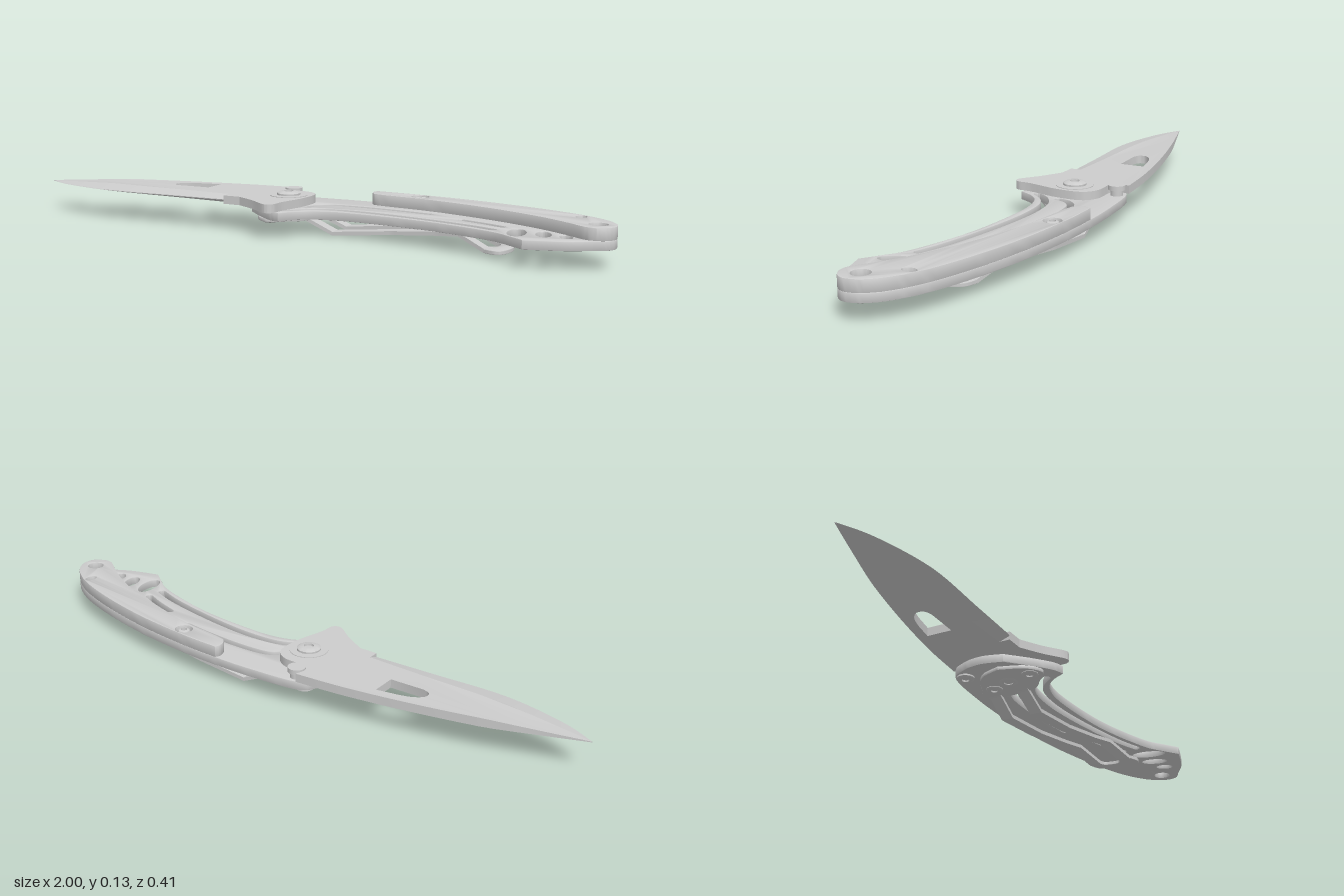
import * as THREE from 'three';
import { toCreasedNormals } from 'three/addons/utils/BufferGeometryUtils.js';

const steel = new THREE.MeshStandardMaterial({ color: 0xcccccc });
const thin = new THREE.MeshStandardMaterial({ color: 0xcccccc, side: THREE.DoubleSide });
const v2 = (p) => new THREE.Vector2(p[0], -p[1]); // plan (x, z) to shape (x, -z)
const lerp = THREE.MathUtils.lerp;

// Smooth run of plan points; runs meet at sharp corners
const run = (pts, n = 5) => pts.length < 3 ? pts.map(v2)
  : new THREE.SplineCurve(pts.map(v2)).getPoints((pts.length - 1) * n);

// Long curved cut-out of constant width with rounded ends
function slot(pts, w) {
  const c = new THREE.SplineCurve(pts.map(v2)), out = [], n = 24;
  const side = (t, a) => {
    const d = c.getTangent(t).rotateAround(new THREE.Vector2(), a);
    out.push(c.getPoint(t).addScaledVector(d, w / 2));
  };
  for (let i = 0; i <= n; i++) side(i / n, -Math.PI / 2);
  for (let i = 1; i < 6; i++) side(1, -Math.PI / 2 + i * Math.PI / 6);
  for (let i = n; i >= 0; i--) side(i / n, Math.PI / 2);
  for (let i = 1; i < 6; i++) side(0, Math.PI / 2 + i * Math.PI / 6);
  return out;
}

const oval = (x, z, rx, rz, turn = 0) =>
  new THREE.EllipseCurve(x, -z, rx, rz, 0, Math.PI * 2, false, turn).getPoints(28).slice(0, -1);

// Flat plate cut from a plan outline between two heights; holes run anticlockwise
function plate(outline, y0, y1, holes = [], bevel = 0.003) {
  const clean = outline.filter((p, i) => i === 0 || p.distanceTo(outline[i - 1]) > 1e-4);
  const shape = new THREE.Shape(clean);
  shape.holes = holes.map((h) => new THREE.Path(h));
  const geo = new THREE.ExtrudeGeometry(shape, {
    depth: y1 - y0 - 2 * bevel, bevelEnabled: bevel > 0, bevelThickness: bevel,
    bevelSize: bevel, bevelOffset: -bevel, bevelSegments: 2,
  });
  geo.rotateX(-Math.PI / 2).translate(0, y0 + bevel, 0);
  return geo;
}

export function createModel() {
  const model = new THREE.Group();
  const add = (name, geo, mat = steel) => {
    const mesh = new THREE.Mesh(geo, mat);
    mesh.name = name;
    model.add(mesh);
    return mesh;
  };
  const crease = (geo) => toCreasedNormals(geo, 0.5);

  // Handle back edge and rounded butt, shared by the frame and the spacer
  const back = [[0.17, -0.204], [0.3, -0.196], [0.5, -0.168], [0.7, -0.12], [0.85, -0.067],
    [0.94, -0.014], [0.985, 0.035], [0.999, 0.08], [0.987, 0.112], [0.955, 0.13]];
  const lanyard = () => oval(0.945, 0.07, 0.027, 0.027);

  // Frame with slots and oval cut-outs
  const frame = [
    ...run([[-0.18, 0.0], [-0.196, -0.07], [-0.18, -0.14], [-0.13, -0.192], [0.04, -0.205], ...back]),
    ...run([[0.955, 0.13], [0.88, 0.172], [0.77, 0.203]]),
    ...run([[0.77, 0.203], [0.72, 0.165], [0.655, 0.122], [0.5, 0.07], [0.35, 0.04], [0.16, 0.025],
      [0.06, 0.04], [0.01, 0.075], [-0.02, 0.125]]),
    ...run([[-0.02, 0.125], [-0.06, 0.11], [-0.12, 0.06]]),
  ];
  add('frame', crease(plate(frame, 0.055, 0.083, [
    slot([[0.01, -0.02], [0.025, -0.06], [0.07, -0.088], [0.18, -0.092], [0.3, -0.082], [0.4, -0.068]], 0.022),
    slot([[-0.015, 0.065], [0.02, 0.025], [0.08, -0.004], [0.18, -0.01], [0.3, 0.002],
      [0.45, 0.03], [0.57, 0.06], [0.65, 0.09]], 0.024),
    slot([[0.52, -0.016], [0.6, 0.01], [0.66, 0.036]], 0.022),
    oval(0.725, 0.105, 0.027, 0.058, 0.2),
    oval(0.8, 0.098, 0.022, 0.044, 0.3),
    oval(0.867, 0.11, 0.018, 0.028, 0.4),
    lanyard(),
  ])));

  // Raised spacer along the back of the handle
  const spacer = [
    ...run(back),
    ...run([[0.955, 0.13], [0.92, 0.125], [0.85, 0.075], [0.75, 0.015], [0.6, -0.05],
      [0.4, -0.11], [0.21, -0.14], [0.175, -0.155], [0.163, -0.185], [0.17, -0.204]]).slice(0, -1),
  ];
  add('spacer', crease(plate(spacer, 0.082, 0.119,
    [lanyard(), oval(0.873, -0.027, 0.015, 0.022), oval(0.333, -0.16, 0.028, 0.028)], 0.002)));

  // Blade body: full thickness from spine to grind line, then the tang and flipper
  const y0 = 0.085, y1 = 0.112, mid = (y0 + y1) / 2;
  const thickness = (x) => lerp(1, 0.08, THREE.MathUtils.clamp((-0.72 - x) / 0.28, 0, 1));
  const grind = run([[-1, -0.04], [-0.9, -0.025], [-0.68, 0.0], [-0.45, 0.012], [-0.25, 0.025]], 6);
  const edge = run([[-1, -0.04], [-0.89, 0.013], [-0.69, 0.06], [-0.45, 0.061], [-0.25, 0.06]], 6);
  const tang = [
    ...grind,
    ...run([[-0.25, 0.06], [-0.19, 0.062]]),
    ...run([[-0.19, 0.062], [-0.12, 0.105], [-0.065, 0.148], [-0.043, 0.155], [-0.027, 0.14], [-0.024, 0.1],
      [-0.012, 0.05], [0.0, 0.0], [0.004, -0.07], [-0.01, -0.11], [-0.045, -0.132], [-0.085, -0.136]]),
    ...run([[-0.085, -0.136], [-0.122, -0.139], [-0.141, -0.162], [-0.133, -0.198]]),
    ...run([[-0.133, -0.198], [-0.3, -0.187], [-0.5, -0.159], [-0.7, -0.12], [-0.87, -0.076], [-1, -0.04]]).slice(0, -1),
  ];
  const thumbHole = [...run([[-0.38, -0.145], [-0.38, -0.064]]),
    ...run([[-0.49, -0.064], [-0.515, -0.075], [-0.517, -0.1], [-0.49, -0.122], [-0.45, -0.134]])];
  const blade = plate(tang, y0, y1, [thumbHole], 0);
  const bp = blade.attributes.position;
  for (let i = 0; i < bp.count; i++) bp.setY(i, mid + (bp.getY(i) - mid) * thickness(bp.getX(i)));
  blade.computeVertexNormals();
  add('blade', crease(blade));

  // Wedge from the grind line down to the cutting edge, both faces
  const pos = [];
  for (const s of [1, -1]) {
    const root = (p) => [p.x, mid + s * (y1 - mid) * thickness(p.x), -p.y];
    const tip = (p) => [p.x, mid + s * 0.001, -p.y];
    for (let i = 0; i < grind.length - 1; i++) {
      const a = root(grind[i]), b = tip(edge[i]), c = tip(edge[i + 1]), d = root(grind[i + 1]);
      pos.push(...(s > 0 ? [a, b, c, a, c, d] : [a, c, b, a, d, c]).flat());
    }
  }
  const wedge = new THREE.BufferGeometry();
  wedge.setAttribute('position', new THREE.Float32BufferAttribute(pos, 3));
  wedge.computeVertexNormals();
  add('cuttingEdge', crease(wedge), thin);

  // Round fasteners: domed head with a socket; flip turns it face down
  const screw = (name, x, z, r, base, top, flip = false) => {
    const h = top - base;
    const profile = [[0, 0], [r, 0], [r, h * 0.55], [r * 0.75, h * 0.92], [r * 0.42, h], [r * 0.4, h * 0.5], [0, h * 0.5]]
      .map(([a, b]) => new THREE.Vector2(a, b));
    const mesh = add(name, crease(new THREE.LatheGeometry(profile, 28)));
    mesh.position.set(x, flip ? top : base, z);
    if (flip) mesh.rotation.x = Math.PI;
  };
  const disc = (name, x, z, r, a, b) =>
    add(name, new THREE.CylinderGeometry(r, r, b - a, 32).translate(x, (a + b) / 2, z));
  disc('pivotWasher', -0.068, -0.04, 0.06, 0.08, 0.114);
  screw('pivotScrew', -0.068, -0.04, 0.037, 0.112, 0.126);
  disc('stopPin', -0.113, -0.165, 0.02, 0.08, 0.112);
  disc('stopPinHead', -0.113, -0.165, 0.028, 0.102, 0.117);
  screw('spacerScrew', 0.333, -0.16, 0.024, 0.083, 0.118);

  // Clip base and its screws under the frame
  const base = run([[-0.16, -0.03], [-0.13, -0.1], [-0.06, -0.14], [0.02, -0.155], [0.02, -0.005],
    [-0.03, 0.05], [-0.08, 0.085], [-0.13, 0.05], [-0.16, -0.03]]).slice(0, -1);
  add('clipBase', crease(plate(base, 0.043, 0.055, [], 0.002)));
  screw('clipScrew', -0.09, 0.045, 0.026, 0.037, 0.046, true);
  screw('clipScrew', -0.04, -0.105, 0.026, 0.037, 0.046, true);
  screw('frameScrew', -0.135, -0.155, 0.028, 0.045, 0.056, true);
  screw('pivotNut', -0.068, -0.04, 0.035, 0.04, 0.056, true);

  // Clip arms: straight bars bent up and down and along the handle curve
  const along = (knots, x) => {
    let i = 1;
    while (i < knots.length - 1 && x > knots[i][0]) i++;
    const [a, b] = [knots[i - 1], knots[i]];
    return lerp(a[1], b[1], (x - a[0]) / (b[0] - a[0]));
  };
  const bend = [[-0.03, 0.049], [0, 0.049], [0.1, 0.006], [0.53, 0.049], [0.62, 0.015], [0.64, 0.015]];
  const arms = [
    [[-0.03, -0.03], [0.1, -0.03], [0.3, -0.025], [0.45, 0.0], [0.53, 0.022], [0.64, 0.062]],
    [[-0.03, -0.125], [0.1, -0.133], [0.3, -0.13], [0.45, -0.108], [0.53, -0.09], [0.64, -0.05]],
  ];
  for (const path of arms) {
    const geo = new THREE.BoxGeometry(0.67, 0.012, 0.04, 67, 1, 1).translate(0.305, 0, 0);
    const p = geo.attributes.position;
    for (let i = 0; i < p.count; i++) {
      const x = p.getX(i);
      p.setY(i, p.getY(i) + along(bend, x));
      p.setZ(i, p.getZ(i) + along(path, x));
    }
    add('clipArm', crease(geo));
  }
  const end = [...run([[0.62, -0.078], [0.665, -0.058], [0.69, 0.01], [0.68, 0.075], [0.655, 0.09], [0.62, 0.077]]),
    ...run([[0.62, 0.035], [0.645, 0.02], [0.64, -0.025], [0.62, -0.037]])];
  add('clipTip', crease(plate(end, 0.009, 0.021, [], 0.002)));

  return model;
}
